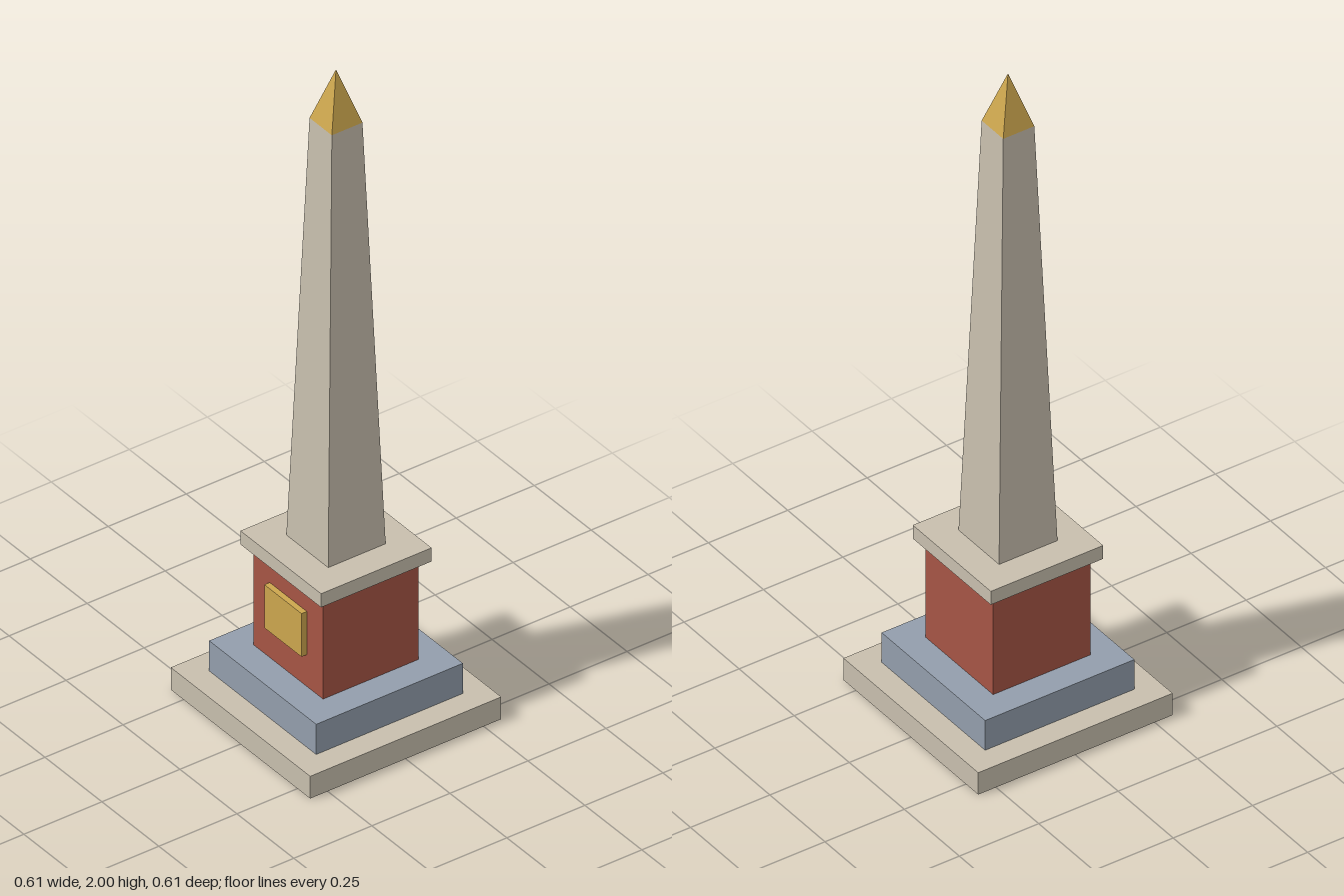
import * as THREE from 'three';

export function createModel() {
  const model = new THREE.Group();
  model.name = 'obelisk';

  const makeMaterial = (name, color) => {
    const material = new THREE.MeshStandardMaterial({ color });
    material.name = name;
    return material;
  };
  const stone = makeMaterial('pale stone', 0xc8bfae);
  const slate = makeMaterial('blue slate', 0x939eac);
  const brick = makeMaterial('red brick', 0xa65545);
  const gold = makeMaterial('gold', 0xcca64e);

  const add = (name, geometry, material, y, z = 0) => {
    const mesh = new THREE.Mesh(geometry, material);
    mesh.name = name;
    mesh.position.set(0, y, z);
    model.add(mesh);
  };

  // Square block between two heights
  const block = (name, width, y0, y1, material) =>
    add(name, new THREE.BoxGeometry(width, y1 - y0, width), material, (y0 + y1) / 2);

  // Four-sided taper with flat faces; widths are measured across the flats
  const taper = (name, bottom, top, y0, y1, material) => {
    const tapered = new THREE.CylinderGeometry(
      top * Math.SQRT1_2, bottom * Math.SQRT1_2, y1 - y0, 4, 1);
    const geometry = tapered.rotateY(Math.PI / 4).toNonIndexed();
    geometry.computeVertexNormals();
    add(name, geometry, material, (y0 + y1) / 2);
  };

  // Stepped base and pedestal
  block('lowerStep', 0.612, 0, 0.07, stone);
  block('upperStep', 0.47, 0.07, 0.165, slate);
  block('pedestal', 0.306, 0.165, 0.477, brick);
  block('pedestalCap', 0.354, 0.477, 0.52, stone);

  // Raised plaque on the front of the pedestal
  add('plaque', new THREE.BoxGeometry(0.163, 0.136, 0.02), gold, 0.333, 0.16);

  // Tapering shaft and pointed tip
  taper('shaft', 0.184, 0.098, 0.52, 1.84, stone);
  taper('tip', 0.098, 0, 1.84, 2, gold);

  return model;
}
